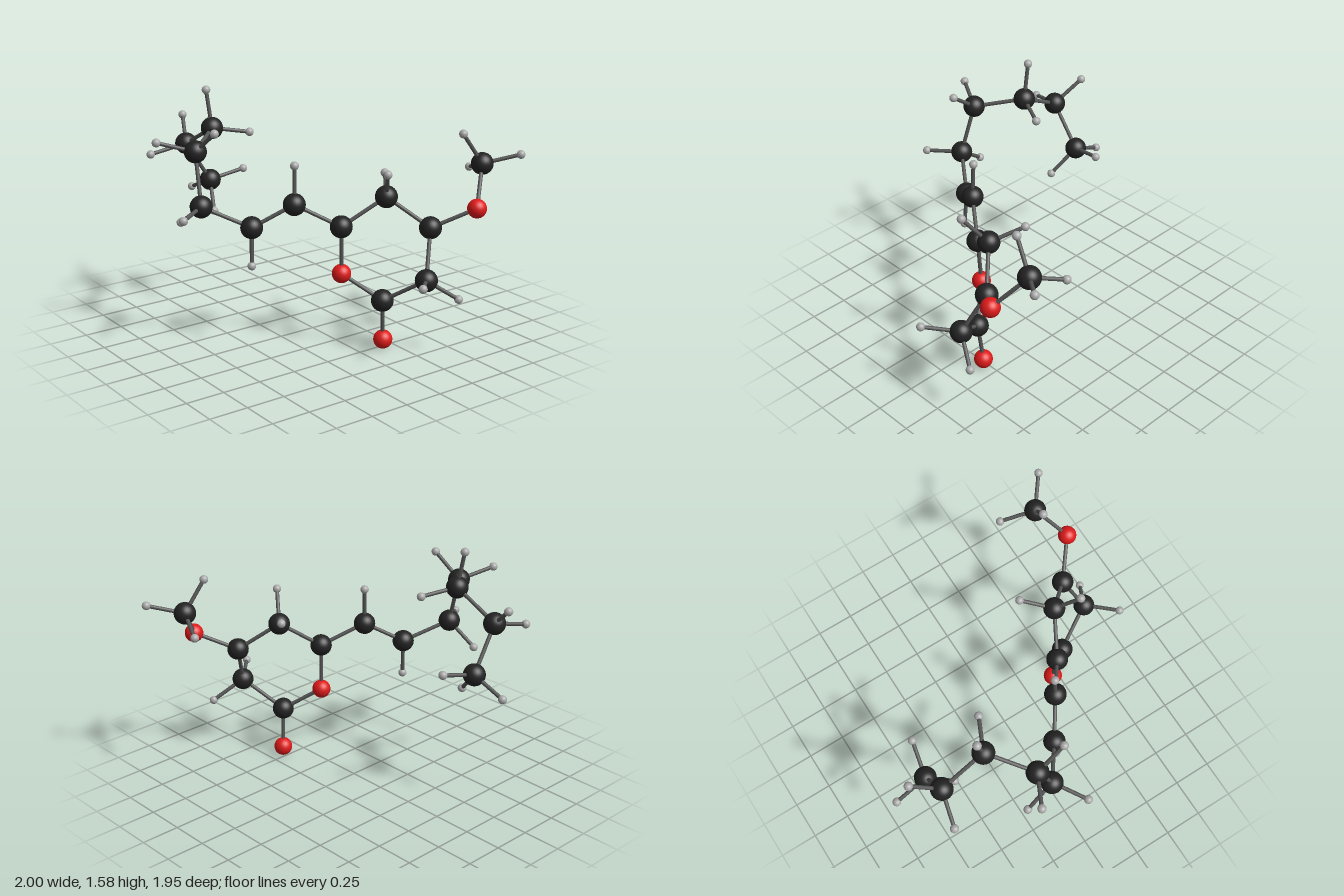
import * as THREE from 'three';

const mat = (color) => new THREE.MeshStandardMaterial({ color });

// Atom positions [x, y, z], grouped by kind
const carbons = {
  c1: [-0.757, 0.885, 0.29], c2: [-0.74, 1.163, 0.477], c3: [-0.44, 1.32, 0.462],
  c4: [-0.227, 1.248, 0.714], c5: [-0.13, 0.928, 0.741], c6: [0.052, 0.797, 0.497],
  c7: [0.195, 0.94, 0.28], c8: [0.366, 0.8, 0.051], c9: [0.496, 0.98, -0.193],
  c10: [0.693, 0.797, -0.382], c11: [0.8, 0.511, -0.266], c12: [0.548, 0.336, -0.132],
  methyl: [0.72, 1.147, -0.767],
};
const oxygens = {
  ringO: [0.354, 0.492, 0.038], carbonylO: [0.528, 0.067, -0.157], etherO: [0.865, 0.922, -0.6],
};
// Hydrogens listed under the carbon that carries them
const hydrogens = {
  c1: [[-0.976, 0.79, 0.303], [-0.598, 0.72, 0.362], [-0.708, 0.937, 0.061]],
  c2: [[-0.91, 1.312, 0.398], [-0.797, 1.111, 0.708]],
  c3: [[-0.484, 1.557, 0.472], [-0.338, 1.285, 0.248]],
  c4: [[-0.035, 1.393, 0.695], [-0.334, 1.312, 0.922]],
  c5: [[-0.323, 0.786, 0.774], [0.001, 0.907, 0.944]],
  c6: [[0.067, 0.557, 0.51]],
  c7: [[0.187, 1.18, 0.272]],
  c9: [[0.318, 1.071, -0.324], [0.623, 1.161, -0.098]],
  c11: [[0.97, 0.544, -0.094], [0.896, 0.379, -0.446]],
  methyl: [[0.687, 1.346, -0.633], [0.864, 1.206, -0.953], [0.511, 1.068, -0.854]],
};
// Chains of bonded atoms: main chain with ring, then side branches
const chains = [
  ['c1', 'c2', 'c3', 'c4', 'c5', 'c6', 'c7', 'c8', 'c9', 'c10', 'c11', 'c12', 'ringO', 'c8'],
  ['c12', 'carbonylO'],
  ['c10', 'etherO', 'methyl'],
];

export function createModel() {
  const model = new THREE.Group();
  model.name = 'molecule';

  const addAtoms = (name, points, radius, color) => {
    const group = new THREE.Group();
    group.name = name;
    const geometry = new THREE.SphereGeometry(radius, 32, 20);
    const material = mat(color);
    for (const p of points) {
      const atom = new THREE.Mesh(geometry, material);
      atom.name = name.replace('Atoms', 'Atom');
      atom.position.set(...p);
      group.add(atom);
    }
    model.add(group);
  };
  addAtoms('carbonAtoms', Object.values(carbons), 0.07, 0x222222);
  addAtoms('oxygenAtoms', Object.values(oxygens), 0.06, 0xdd1a1a);
  addAtoms('hydrogenAtoms', Object.values(hydrogens).flat(), 0.027, 0xaaaaaa);

  // Bonds: thin rods from centre to centre
  const bonds = new THREE.Group();
  bonds.name = 'bonds';
  const rod = new THREE.CylinderGeometry(0.0125, 0.0125, 1, 16);
  const rodMaterial = mat(0x555555);
  const up = new THREE.Vector3(0, 1, 0);
  const addBond = (from, to) => {
    const a = new THREE.Vector3(...from), b = new THREE.Vector3(...to);
    const bond = new THREE.Mesh(rod, rodMaterial);
    bond.name = 'bond';
    bond.position.copy(a).lerp(b, 0.5);
    bond.scale.y = a.distanceTo(b);
    bond.quaternion.setFromUnitVectors(up, b.sub(a).normalize());
    bonds.add(bond);
  };
  const atoms = { ...carbons, ...oxygens };
  for (const chain of chains)
    for (let i = 1; i < chain.length; i++) addBond(atoms[chain[i - 1]], atoms[chain[i]]);
  for (const [parent, list] of Object.entries(hydrogens))
    for (const h of list) addBond(atoms[parent], h);
  model.add(bonds);

  return model;
}
